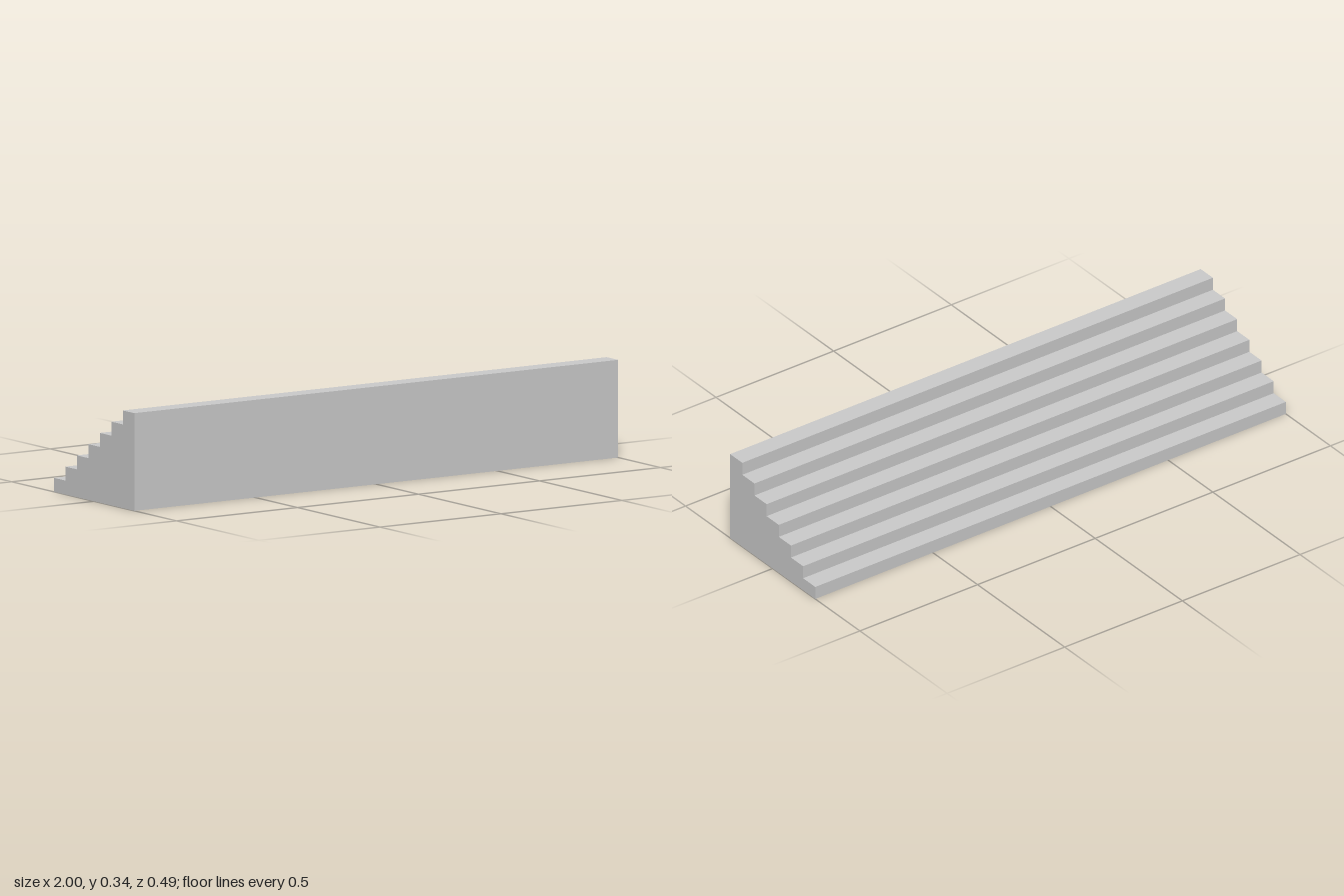
import * as THREE from 'three';

const STEPS = 7, WIDTH = 2, HEIGHT = 0.338, DEPTH = 0.488;
const RISE = HEIGHT / STEPS, RUN = DEPTH / STEPS;

export function createModel() {
  const group = new THREE.Group();
  group.name = 'steps';
  // thin shell, open underneath
  const material = new THREE.MeshStandardMaterial({
    color: 0xcccccc, side: THREE.DoubleSide, flatShading: true,
  });
  const add = (name, geometry, x, y, z) => {
    const mesh = new THREE.Mesh(geometry, material);
    mesh.name = name;
    mesh.position.set(x, y, z);
    group.add(mesh);
  };

  // tall front wall
  add('frontWall', new THREE.PlaneGeometry(WIDTH, HEIGHT), 0, HEIGHT / 2, DEPTH / 2);

  // risers and treads climb from the back edge to the top of the wall
  for (let i = 0; i < STEPS; i++) {
    const z = -DEPTH / 2 + i * RUN;
    add('riser', new THREE.PlaneGeometry(WIDTH, RISE).rotateY(Math.PI), 0, (i + 0.5) * RISE, z);
    add('tread', new THREE.PlaneGeometry(WIDTH, RUN).rotateX(-Math.PI / 2), 0, (i + 1) * RISE, z + RUN / 2);
  }

  // stepped end panels, mirrored
  for (const side of [1, -1]) {
    const shape = new THREE.Shape();
    const u = (z) => -side * z;
    shape.moveTo(u(DEPTH / 2), 0);
    shape.lineTo(u(-DEPTH / 2), 0);
    for (let i = 0; i < STEPS; i++) {
      const z = -DEPTH / 2 + i * RUN;
      shape.lineTo(u(z), (i + 1) * RISE);
      shape.lineTo(u(z + RUN), (i + 1) * RISE);
    }
    add(side > 0 ? 'leftEnd' : 'rightEnd',
      new THREE.ShapeGeometry(shape).rotateY(side * Math.PI / 2), side * WIDTH / 2, 0, 0);
  }
  return group;
}
